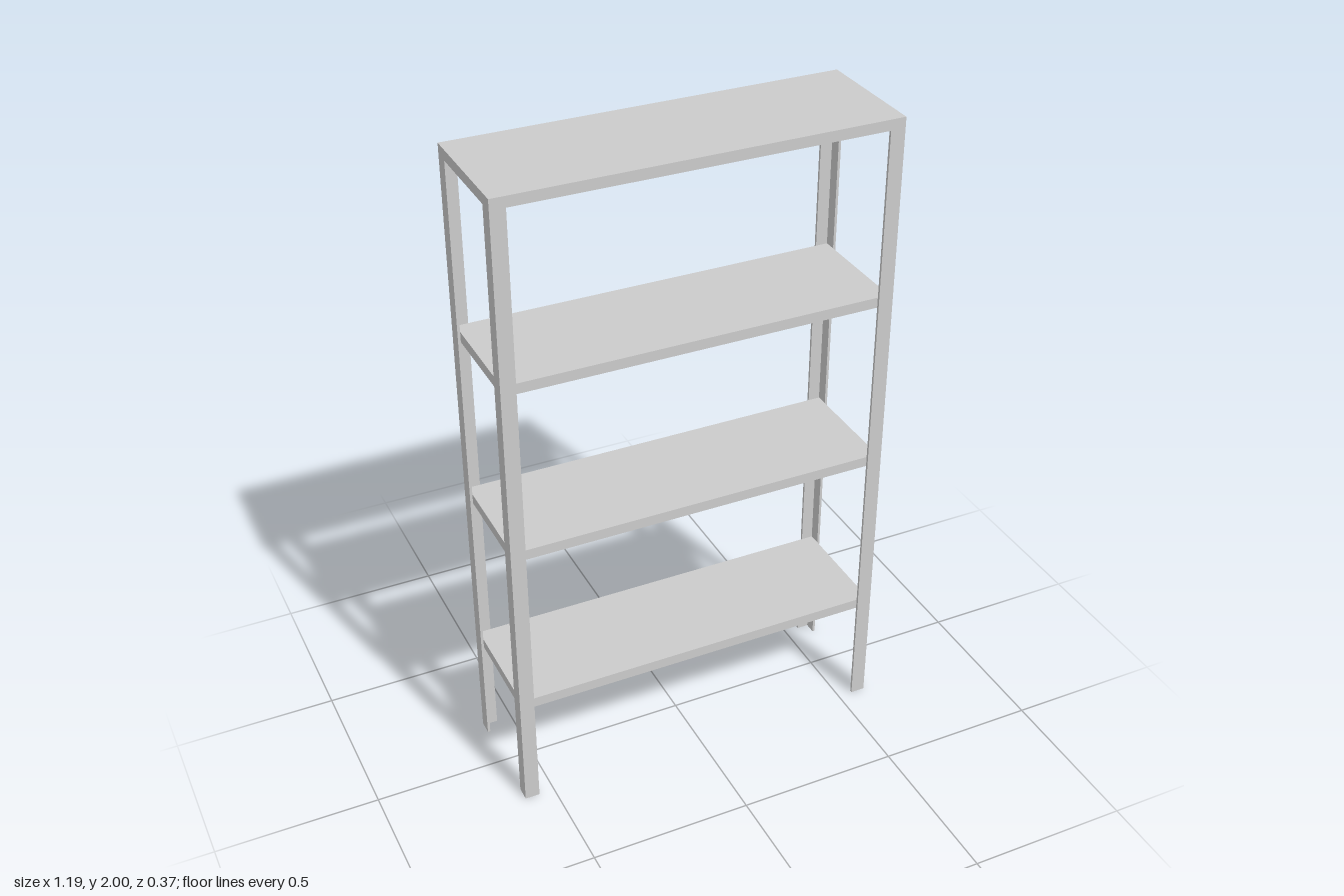
import * as THREE from 'three';

const HALF_W = 0.593, HALF_D = 0.187;   // outer half width and depth
const FLANGE = 0.045, T = 0.008;        // angle-iron leg size and thickness
const SHELF_H = 0.032, HEIGHT = 2;

export function createModel() {
  const model = new THREE.Group();
  model.name = 'shelvingUnit';
  const material = new THREE.MeshStandardMaterial({ color: 0xcccccc, flatShading: true });

  // L-shaped legs, open side facing the middle of the unit
  const addLeg = (name, sx, sz) => {
    const points = [[0, 0], [FLANGE, 0], [FLANGE, T], [T, T], [T, FLANGE], [0, FLANGE]]
      .map(([a, b]) => new THREE.Vector2(sx * (HALF_W - a), -sz * (HALF_D - b)));
    const geometry = new THREE.ExtrudeGeometry(new THREE.Shape(points), {
      depth: HEIGHT - SHELF_H, bevelEnabled: false,
    });
    geometry.rotateX(-Math.PI / 2);
    const leg = new THREE.Mesh(geometry, material);
    leg.name = name;
    model.add(leg);
  };
  addLeg('frontLeftLeg', 1, 1);
  addLeg('frontRightLeg', -1, 1);
  addLeg('backLeftLeg', 1, -1);
  addLeg('backRightLeg', -1, -1);

  // Evenly spaced shelves: lower ones sit inside the legs, the top one caps them
  const spacing = 0.541;
  for (let i = 0; i < 4; i++) {
    const isTop = i === 3;
    const inset = isTop ? 0 : T;
    const shelf = new THREE.Mesh(
      new THREE.BoxGeometry(2 * (HALF_W - inset), SHELF_H, 2 * (HALF_D - inset)), material);
    shelf.position.y = HEIGHT - SHELF_H / 2 - (3 - i) * spacing;
    shelf.name = isTop ? 'topShelf' : `shelf${i + 1}`;
    model.add(shelf);
  }
  return model;
}
